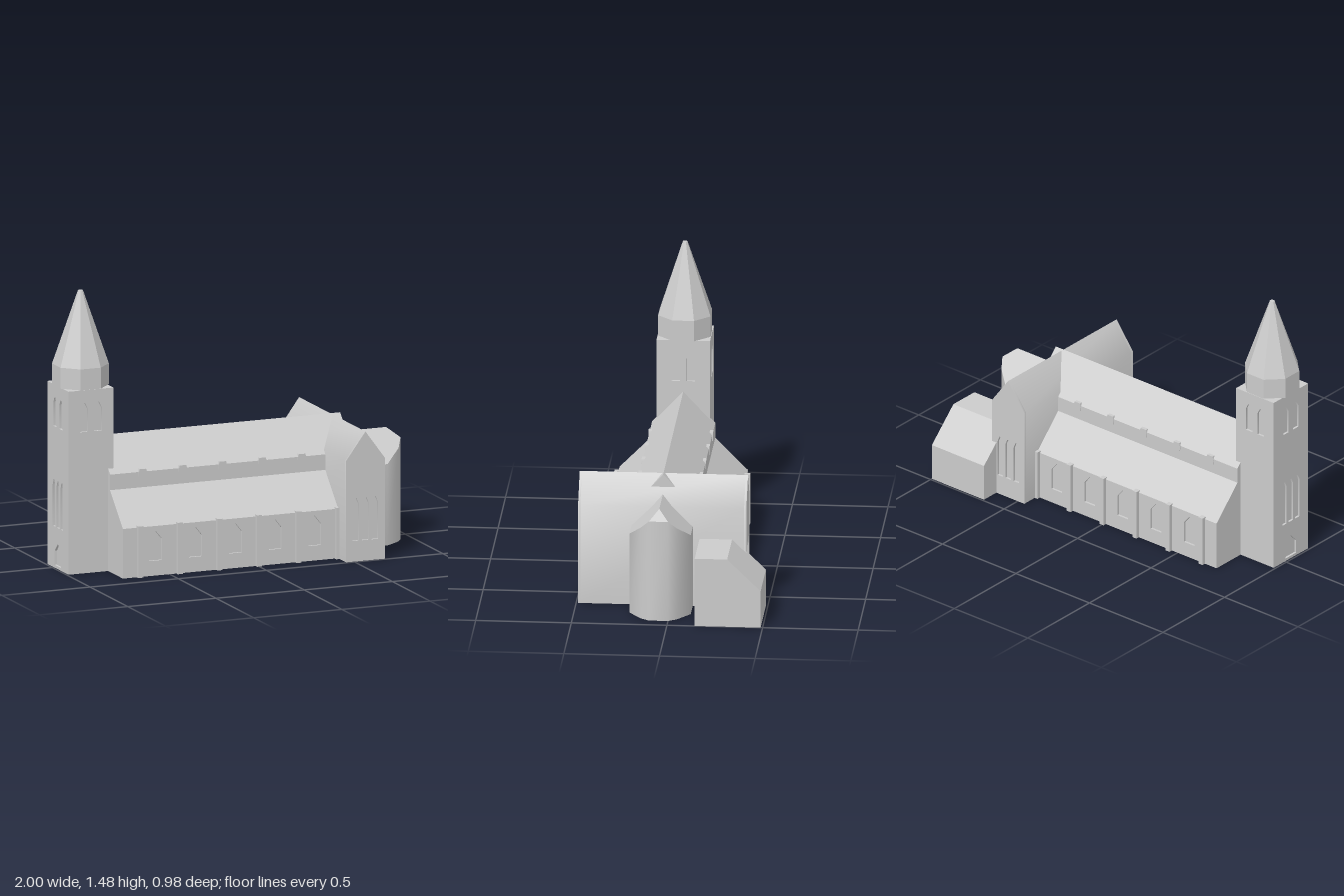
import * as THREE from 'three';
import { toCreasedNormals } from 'three/addons/utils/BufferGeometryUtils.js';

const T = 0.012; // depth of the window recesses

export function createModel() {
  const model = new THREE.Group();
  model.name = 'church';
  const stone = new THREE.MeshStandardMaterial({ color: 0xcccccc });
  stone.name = 'stone';

  // everything is laid out around the church axis, which lies at z = 0.05
  const church = new THREE.Group();
  church.name = 'building';
  church.position.z = 0.05;
  model.add(church);

  function add(name, geometry, x = 0, y = 0, z = 0, turn = 0) {
    const mesh = new THREE.Mesh(geometry, stone);
    mesh.name = name;
    mesh.position.set(x, y, z);
    mesh.rotation.y = turn;
    church.add(mesh);
    return mesh;
  }
  const box = (name, x0, x1, y0, y1, z0, z1) =>
    add(name, new THREE.BoxGeometry(x1 - x0, y1 - y0, z1 - z0), (x0 + x1) / 2, (y0 + y1) / 2, (z0 + z1) / 2);

  const toShape = (pts) => new THREE.Shape(pts.map(([x, y]) => new THREE.Vector2(x, y)));
  function extrude(pts, depth, holes = [], crease = 0.5) {
    const shape = toShape(pts);
    shape.holes = holes.map(toShape);
    return toCreasedNormals(new THREE.ExtrudeGeometry(shape, { depth, bevelEnabled: false }), crease);
  }
  // section drawn as (-z, y), swept along x
  const alongX = (name, pts, x0, x1) => add(name, extrude(pts, x1 - x0).rotateY(Math.PI / 2), x0);
  const rect = (w, h) => [[-w / 2, 0], [w / 2, 0], [w / 2, h], [-w / 2, h]];

  // pointed window outline
  function lancet(cx, w, y0, y1, rise, blunt = 0) {
    const h = w / 2;
    const tip = blunt ? [[cx + blunt, y1], [cx - blunt, y1]] : [[cx, y1]];
    return [[cx - h, y0], [cx + h, y0], [cx + h, y1 - rise], ...tip, [cx - h, y1 - rise]];
  }

  // nave with its clerestory, and the lean-to aisle roofs
  alongX('nave', [[-0.165, 0], [0.165, 0], [0.165, 0.52], [0, 0.697], [-0.165, 0.52]], -0.765, 0.61);
  alongX('aisleRoof', [[-0.335, 0.265], [0.335, 0.265], [0.165, 0.437], [-0.165, 0.437]], -0.765, 0.46);
  box('aisleCore', -0.765, 0.46, 0, 0.265, -0.335 + T, 0.335 - T);

  // aisle walls, buttresses and clerestory windows on both sides
  const bays = [-0.58, -0.353, -0.127, 0.098, 0.322];
  for (const side of [1, -1]) {
    const turn = side > 0 ? 0 : Math.PI;
    const holes = bays.map((x) => lancet(side * (x + 0.1525), 0.072, 0.08, 0.24, 0.045));
    add('aisleWall', extrude(rect(1.225, 0.265), T, holes), -0.1525, 0, side * (0.335 - T), turn);
    for (let i = 0; i < 6; i++) {
      const x = -0.672 + i * 0.2245;
      const z = side * 0.34;
      box('buttress', x - 0.014, x + 0.014, 0, 0.275, z - 0.015, z + 0.015);
    }
    for (const x of bays) {
      const outline = [[-0.022, 0.49], [0.022, 0.49], [0.024, 0.515], [0.018, 0.535], [-0.018, 0.535], [-0.024, 0.515]];
      add('clerestoryWindow', extrude(outline, 0.018), x, 0, side * 0.151, turn);
    }
  }

  // transept: solid middle with a pierced gable wall at each end
  const gable = [[-0.11, 0], [0.11, 0], [0.11, 0.54], [0, 0.69], [-0.11, 0.54]];
  const tall = [-0.056, 0, 0.053];
  add('transept', extrude(gable, 0.88 - 2 * T, [], 0.7), 0.565, 0, -0.44 + T);
  for (const side of [1, -1]) {
    const holes = tall.map((x) => lancet(side * x, 0.037, 0.11, 0.34, 0.032, 0.005));
    add('transeptGable', extrude(gable, T, holes, 0.7), 0.565, 0, side * (0.44 - T), side > 0 ? 0 : Math.PI);
  }

  // choir with rounded apse, its walls rising to meet the gabled roof
  add('choir', choirGeometry());

  // sacristy with a roof sloping to the back
  alongX('sacristy', [[0.195, 0], [0.54, 0], [0.54, 0.2], [0.365, 0.37], [0.195, 0.37]], 0.645, 1);

  // tower: core with four pierced walls
  const cx = -0.8625, w = 0.255, d = 0.28, h = 0.978;
  box('towerCore', cx - w / 2 + T, cx + w / 2 - T, 0, h, -d / 2 + T, d / 2 - T);
  const belfry = [-0.04, 0.04].map((x) => lancet(x, 0.044, 0.755, 0.91, 0.032, 0.006));
  const west = [
    ...belfry,
    ...[-0.052, 0, 0.052].map((x) => lancet(x, 0.036, 0.22, 0.47, 0.032, 0.005)),
    lancet(0, 0.085, 0.015, 0.135, 0.045),
  ];
  const front = extrude(rect(w, h), T, belfry);
  add('towerFront', front, cx, 0, d / 2 - T);
  add('towerBack', front, cx, 0, -d / 2 + T, Math.PI);
  add('towerInnerWall', extrude(rect(d - 2 * T, h), T, belfry), cx + w / 2 - T, 0, 0, Math.PI / 2);
  add('towerDoorWall', extrude(rect(d - 2 * T, h), T, west), cx - w / 2 + T, 0, 0, -Math.PI / 2);

  // eight-sided drum and spire
  const r = 0.137 / Math.cos(Math.PI / 8);
  const octagon = (top, bottom, height) =>
    toCreasedNormals(new THREE.CylinderGeometry(top, bottom, height, 8, 1, false, Math.PI / 8), 0.3);
  add('spireDrum', octagon(r, r, 0.112), cx, 1.034, 0);
  add('spire', octagon(0.013, r, 0.392), cx, 1.286, 0);

  return model;
}

function choirGeometry() {
  const half = [[0.6, 0.16], [0.81, 0.16], [0.9, 0.095], [0.931, 0.05]];
  const plan = [...half, ...half.map(([x, z]) => [x, -z]).reverse()];
  const low = plan.map(([x, z]) => [x, 0, z]);
  const high = plan.map(([x, z]) => [x, 0.595 - Math.abs(z), z]);
  const ridge0 = [0.6, 0.595, 0];
  const ridge1 = [0.87, 0.595, 0];
  const out = [];
  const tri = (a, b, c) => out.push(...a, ...b, ...c);
  const n = plan.length;
  // walls
  for (let i = 0; i < n; i++) {
    const j = (i + 1) % n;
    tri(low[i], low[j], high[j]);
    tri(low[i], high[j], high[i]);
  }
  // underside
  for (let i = 1; i < n - 1; i++) tri(low[0], low[i + 1], low[i]);
  // roof slopes and end hip
  const rim = [...high.slice(0, 4), ridge1, ...high.slice(4)];
  for (let i = 0; i < rim.length - 1; i++) tri(ridge0, rim[i], rim[i + 1]);
  tri(ridge1, high[3], high[4]);
  const g = new THREE.BufferGeometry();
  g.setAttribute('position', new THREE.Float32BufferAttribute(out, 3));
  return toCreasedNormals(g, 0.7);
}
